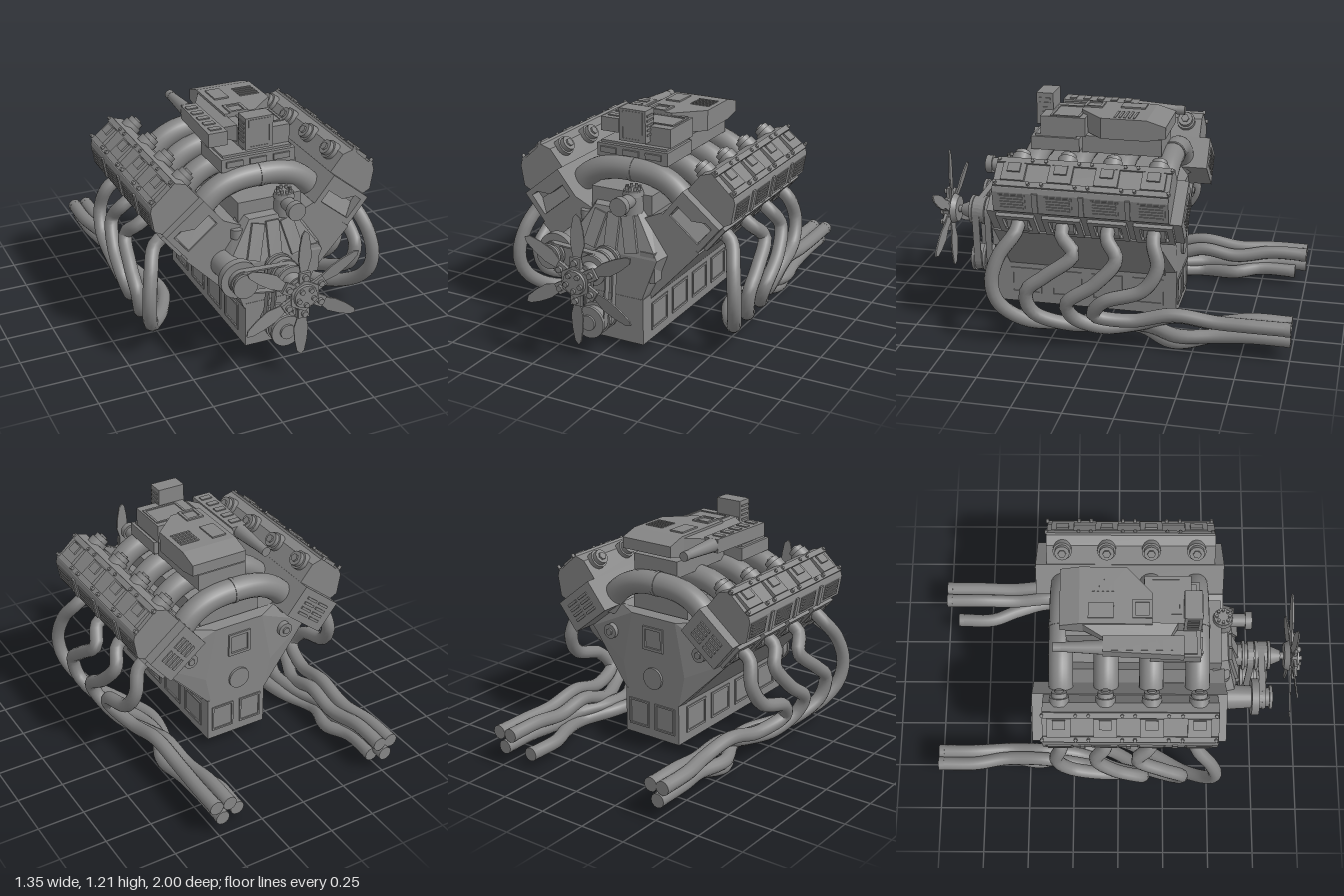
import * as THREE from 'three';
import { ConvexGeometry } from 'three/addons/geometries/ConvexGeometry.js';

const metal = new THREE.MeshStandardMaterial({ color: 0x858585, side: THREE.DoubleSide });
metal.name = 'grey metal';
const CYL_Z = [0.41, 0.17, -0.065, -0.3];
const TILT = 0.68;

function add(parent, name, geo, x = 0, y = 0, z = 0) {
  const m = new THREE.Mesh(geo, metal);
  m.name = name;
  m.position.set(x, y, z);
  parent.add(m);
  return m;
}
const box = (p, name, w, h, d, x, y, z) => add(p, name, new THREE.BoxGeometry(w, h, d), x, y, z);
// Cylinder along an axis, r1 at the positive end
function cyl(p, name, axis, r1, r2, len, x, y, z, sides = 24) {
  const g = new THREE.CylinderGeometry(r1, r2, len, sides);
  if (axis === 'z') g.rotateX(Math.PI / 2);
  if (axis === 'x') g.rotateZ(-Math.PI / 2);
  return add(p, name, g, x, y, z);
}
const poly = pts => new THREE.Shape(pts.map(([x, y]) => new THREE.Vector2(x, y)));
// Outline in x,y extruded from z0 to z1
function prism(p, name, shape, z0, z1) {
  return add(p, name, new THREE.ExtrudeGeometry(shape, { depth: z1 - z0, bevelEnabled: false }), 0, 0, z0);
}
const hull = (p, name, pts) => add(p, name, new ConvexGeometry(pts.map(a => new THREE.Vector3(...a))));
function tube(p, name, pts, r, seg = 48, sides = 14) {
  const c = new THREE.CatmullRomCurve3(pts.map(a => new THREE.Vector3(...a)), false, 'centripetal');
  return add(p, name, new THREE.TubeGeometry(c, seg, r, sides));
}
// Raised rectangular frame in the x,y plane
function frameGeo(w, h, t, depth) {
  const s = poly([[-w / 2, -h / 2], [w / 2, -h / 2], [w / 2, h / 2], [-w / 2, h / 2]]);
  const a = w / 2 - t, b = h / 2 - t;
  s.holes.push(poly([[-a, -b], [-a, b], [a, b], [a, -b]]));
  return new THREE.ExtrudeGeometry(s, { depth, bevelEnabled: false });
}

function buildBlock(g) {
  box(g, 'oilPan', 0.35, 0.25, 1.0, 0.012, 0.18, 0.14);
  prism(g, 'engineBlock', poly([[-0.165, 0.28], [0.185, 0.28], [0.46, 0.58], [0.25, 0.76], [0.12, 0.7],
    [-0.12, 0.7], [-0.25, 0.76], [-0.455, 0.58]]), -0.3, 0.56);
  box(g, 'valleyCover', 0.35, 0.13, 0.82, 0.012, 0.765, 0.13);
  // Faceted rear cover and sloped timing cover
  const rear = [], front = [];
  for (const s of [-1, 1]) {
    rear.push([s * 0.17, 0.28, -0.3], [s * 0.455, 0.58, -0.3], [s * 0.26, 0.75, -0.3],
      [s * 0.165, 0.28, -0.36], [s * 0.2, 0.45, -0.36], [s * 0.14, 0.74, -0.36]);
    front.push([s * 0.3, 0.54, 0.5], [s * 0.14, 0.77, 0.5], [s * 0.17, 0.28, 0.5],
      [s * 0.265, 0.53, 0.638], [s * 0.17, 0.28, 0.638], [s * 0.12, 0.75, 0.58]);
  }
  hull(g, 'rearCover', rear);
  hull(g, 'timingCover', front);
  for (const i of [-1, 0, 1]) {
    const r = box(g, 'timingCoverRib', 0.07, 0.19, 0.03, i * 0.1, 0.635, 0.612);
    r.rotation.set(-0.26, 0, i * 0.25);
  }
  // Panels along the pan and at the back
  for (const s of [-1, 1]) {
    for (let i = 0; i < 4; i++) {
      const f = add(g, 'panPanel', frameGeo(0.17, 0.15, 0.012, 0.008), 0.012 + s * 0.173, 0.18, 0.47 - i * 0.225);
      f.rotation.y = s * Math.PI / 2;
    }
    add(g, 'rearPanPanel', frameGeo(0.13, 0.15, 0.01, 0.008), 0.012 + s * 0.085, 0.18, -0.367);
    cyl(g, 'rearBoss', 'z', 0.04, 0.04, 0.06, s * 0.29, 0.6, -0.335);
    cyl(g, 'rearBossBolt', 'z', 0.02, 0.02, 0.03, s * 0.29, 0.6, -0.36, 6);
  }
  add(g, 'rearUpperPanel', frameGeo(0.13, 0.13, 0.015, 0.012), 0, 0.62, -0.37);
  cyl(g, 'rearPlug', 'z', 0.06, 0.06, 0.03, 0, 0.4, -0.358);
}

// One cylinder bank; s is the side
function buildBank(root, s) {
  const g = new THREE.Group();
  g.name = s > 0 ? 'leftBank' : 'rightBank';
  g.position.set(s * 0.405 + 0.005, 0.738, 0);
  g.rotation.z = -s * TILT;
  root.add(g);
  const flip = a => a.map(([x, y]) => [s * x, y]);
  box(g, 'cylinderHead', 0.26, 0.18, 0.945, 0, 0, 0.0275);
  // Notched front frame with a sloped flap, slotted rear
  const f = poly(flip([[-0.13, -0.09], [0.13, -0.09], [0.13, 0.09], [-0.13, 0.09]]));
  f.holes.push(poly(flip([[-0.1, -0.06], [0.1, -0.06], [0.1, 0.06], [0.06, 0.06], [0.0, 0.01], [-0.1, 0.01]])));
  prism(g, 'headFrontFrame', f, 0.5, 0.56);
  const flap = box(g, 'headFlap', 0.19, 0.09, 0.012, 0, -0.022, 0.525);
  flap.rotation.x = -0.5;
  for (let i = 0; i < 4; i++) for (const x of [-0.045, 0.045])
    box(g, 'rearSlot', 0.07, 0.014, 0.012, x, -0.045 + i * 0.03, -0.446);
  prism(g, 'valveCover', poly(flip([[-0.125, 0.09], [0.13, 0.09], [0.148, 0.13], [0.095, 0.225], [0.075, 0.24],
    [-0.09, 0.25], [-0.125, 0.2]])), -0.385, 0.51);
  for (const [x, y] of [[-0.078, 0.252], [0.055, 0.245]]) box(g, 'coverRail', 0.03, 0.014, 0.89, s * x, y, 0.062);
  for (const z of CYL_Z) {
    // Exhaust flange
    const e = add(g, 'exhaustFlange', frameGeo(0.2, 0.16, 0.03, 0.025), s * 0.125, 0, z);
    e.rotation.y = s * Math.PI / 2;
    hull(g, 'exhaustRamp', [[0.125, 0.05], [0.155, -0.01], [0.155, -0.05], [0.125, -0.06]]
      .flatMap(([x, y]) => [[s * x, y, z - 0.055], [s * x, y, z + 0.055]]));
    // Outer grille
    const v = new THREE.Group();
    v.name = 'coverGrille';
    v.position.set(s * 0.116, 0.178, z);
    v.rotation.z = s * 0.508;
    g.add(v);
    box(v, 'grillePlate', 0.016, 0.085, 0.14, 0, 0, 0);
    for (let i = -2; i <= 2; i++) box(v, 'grilleSlat', 0.024, 0.008, 0.12, 0, i * 0.016, 0);
    box(v, 'coverStrap', 0.024, 0.11, 0.025, 0, 0, z > 0.4 ? -0.118 : 0.118);
    // Coil bracket and bolts on top
    box(g, 'coilBracket', 0.1, 0.025, 0.12, -s * 0.01, 0.25, z);
    box(g, 'coilBlock', 0.05, 0.035, 0.065, -s * 0.03, 0.255, z);
    for (const dz of [-0.085, 0.085]) for (const x of [-0.078, 0.055])
      cyl(g, 'coverBolt', 'y', 0.009, 0.009, 0.02, s * x, 0.258, z + dz, 8);
    // Filler cap facing inward
    cyl(g, 'capNeck', 'x', 0.05, 0.05, 0.04, -s * 0.13, 0.178, z);
    cyl(g, 'cap', 'x', 0.04, 0.04, 0.04, -s * 0.155, 0.178, z, 12);
    cyl(g, 'capNut', 'x', 0.022, 0.022, 0.02, -s * 0.175, 0.178, z, 6);
  }
}

// Four header pipes per side: x, y, z
function buildHeaders(g, s) {
  const paths = [
    [[0.615, 0.5, 0.49], [0.638, 0.36, 0.525], [0.625, 0.24, 0.49], [0.56, 0.13, 0.36], [0.44, 0.08, 0.17], [0.36, 0.07, -0.03],
      [0.385, 0.065, -0.22], [0.48, 0.043, -0.4], [0.42, 0.07, -0.6]],
    [[0.605, 0.54, 0.1], [0.632, 0.42, 0.24], [0.636, 0.33, 0.34], [0.615, 0.21, 0.32], [0.54, 0.12, 0.14], [0.43, 0.09, -0.06],
      [0.43, 0.1, -0.25], [0.5, 0.09, -0.42], [0.48, 0.1, -0.62]],
    [[0.6, 0.53, -0.12], [0.63, 0.4, -0.02], [0.63, 0.28, 0.13], [0.595, 0.19, 0.11], [0.54, 0.12, -0.03], [0.47, 0.12, -0.2],
      [0.46, 0.18, -0.4], [0.45, 0.16, -0.6]],
    [[0.595, 0.5, -0.33], [0.615, 0.38, -0.26], [0.62, 0.3, -0.06], [0.59, 0.21, 0.0], [0.54, 0.17, -0.18],
      [0.52, 0.215, -0.4], [0.51, 0.19, -0.62]],
  ];
  const ends = s > 0
    ? [[0.36, 0.083, -0.94], [0.48, 0.115, -1], [0.44, 0.19, -1], [0.515, 0.19, -1]]
    : [[0.47, 0.085, -0.94], [0.51, 0.115, -1], [0.47, 0.19, -1], [0.54, 0.19, -1]];
  paths.forEach((p, i) => {
    const z = CYL_Z[i], [ex, ey, ez] = ends[i];
    const pts = [[0.48, 0.675, z], [0.56, 0.62, z], ...p, [ex, ey, ez + 0.2], [ex, ey, ez + 0.005]];
    tube(g, 'headerPipe', pts.map(([a, b, c]) => [s * a, b, c]), 0.037, 64, 12);
    cyl(g, 'pipeTip', 'z', 0.038, 0.038, 0.03, s * ex, ey, ez + 0.015, 12);
  });
}

function buildIntake(g) {
  const half = [[0.34, 0.72], [0.3, 0.79], [0.245, 0.845], [0.17, 0.885], [0.09, 0.903]];
  for (const z of CYL_Z) {
    tube(g, 'intakeRunner', [...half.map(([x, y]) => [-x, y, z]), [0, 0.907, z],
      ...half.slice().reverse().map(([x, y]) => [x, y, z])], 0.064, 40, 18);
    cyl(g, 'runnerBand', 'x', 0.067, 0.067, 0.02, 0.01, 0.907, z);
  }
  // Plenum under the blower
  box(g, 'plenumFront', 0.41, 0.07, 0.26, 0.005, 0.985, 0.29);
  box(g, 'plenumLid', 0.38, 0.02, 0.22, 0.005, 1.022, 0.29);
  for (const x of [-0.13, 0, 0.13]) box(g, 'plenumVent', 0.09, 0.03, 0.02, x, 0.99, 0.421);
  box(g, 'plenumRear', 0.28, 0.09, 0.42, 0.05, 0.99, -0.06);
  // Tall scoop
  box(g, 'scoop', 0.152, 0.17, 0.09, 0.007, 1.135, 0.375);
  add(g, 'scoopFrame', frameGeo(0.12, 0.15, 0.006, 0.005), 0.007, 1.135, 0.418);
  for (const s of [-1, 1]) for (let i = 0; i < 5; i++)
    box(g, 'scoopSlat', 0.008, 0.01, 0.06, 0.007 + s * 0.077, 1.09 + i * 0.025, 0.375);
  box(g, 'scoopBase', 0.26, 0.1, 0.24, 0.07, 1.08, 0.25);
  add(g, 'baseLidFrame', frameGeo(0.2, 0.16, 0.012, 0.008), 0.09, 1.127, 0.24).rotation.x = -Math.PI / 2;
  // Blower body with a slanted front corner
  const body = [];
  for (const y of [1.04, 1.15]) body.push([-0.07, y, 0.17], [0.1, y, 0.17], [0.24, y, 0.04], [0.24, y, -0.2], [-0.07, y, -0.2]);
  for (const y of [1.06, 1.12]) body.push([-0.07, y, -0.3], [0.24, y, -0.3]);
  hull(g, 'blowerBody', body);
  add(g, 'blowerHatch', frameGeo(0.1, 0.1, 0.015, 0.01), 0.01, 1.148, 0.12).rotation.x = -Math.PI / 2;
  box(g, 'blowerLatch', 0.08, 0.014, 0.13, 0.0, 1.151, -0.09);
  for (let i = 0; i < 5; i++) box(g, 'blowerSlot', 0.11, 0.008, 0.012, 0.16, 1.15, -0.13 + i * 0.025);
  // Side strip with barrel tail
  const strip = [];
  for (const y of [1.055, 1.13]) strip.push([-0.23, y, 0.33], [-0.125, y, 0.33], [-0.125, y, -0.08], [-0.21, y, -0.08]);
  hull(g, 'sideStrip', strip);
  hull(g, 'stripBridge', [1.05, 1.14].flatMap(y => [[-0.06, y, 0.3], [-0.06, y, -0.2]])
    .concat([1.065, 1.12].flatMap(y => [[-0.13, y, 0.26], [-0.13, y, -0.08]])));
  cyl(g, 'stripBarrel', 'z', 0.038, 0.024, 0.22, -0.175, 1.095, -0.19, 16);
  cyl(g, 'barrelTip', 'z', 0.026, 0.026, 0.04, -0.175, 1.095, -0.31, 12);
  for (let i = 0; i < 5; i++) box(g, 'stripButton', 0.06, 0.01, 0.035, -0.175, 1.131, 0.28 - i * 0.075);
}

// Belt loop around two pulleys
function belt(g, x0, y0, r0, x1, y1, r1, z, w) {
  const a = Math.atan2(y1 - y0, x1 - x0);
  const arc = (x, y, r, start) => Array.from({ length: 13 }, (_, i) => {
    const t = a + start + i * Math.PI / 12;
    return [x + r * Math.cos(t), y + r * Math.sin(t)];
  });
  const ring = k => poly([...arc(x0, y0, r0 + k, Math.PI / 2), ...arc(x1, y1, r1 + k, -Math.PI / 2)]);
  const s = ring(0.008);
  s.holes.push(ring(0));
  prism(g, 'belt', s, z - w / 2, z + w / 2);
}

function buildFrontDrive(g) {
  const pulley = (name, x, y, r, z0, z1) => {
    cyl(g, name, 'z', r * 0.8, r * 0.8, z1 - z0, x, y, (z0 + z1) / 2, 32);
    for (const z of [z0, (z0 + z1) / 2, z1]) cyl(g, name + 'Rim', 'z', r, r, 0.016, x, y, z, 32);
  };
  pulley('waterPumpPulley', 0, 0.5, 0.08, 0.68, 0.82);
  pulley('crankPulley', -0.02, 0.215, 0.085, 0.69, 0.82);
  pulley('alternatorPulley', -0.25, 0.525, 0.065, 0.74, 0.82);
  cyl(g, 'crankNose', 'z', 0.04, 0.04, 0.24, -0.02, 0.215, 0.72);
  cyl(g, 'pumpNose', 'z', 0.06, 0.06, 0.1, 0, 0.5, 0.65);
  cyl(g, 'alternator', 'z', 0.1, 0.1, 0.04, -0.25, 0.525, 0.735, 32);
  cyl(g, 'alternatorBody', 'z', 0.06, 0.075, 0.22, -0.25, 0.525, 0.61);
  box(g, 'accessoryBracket', 0.08, 0.16, 0.13, 0.21, 0.485, 0.57);
  belt(g, -0.02, 0.215, 0.07, 0, 0.5, 0.068, 0.79, 0.04);
  belt(g, -0.02, 0.215, 0.07, 0, 0.5, 0.068, 0.72, 0.035);
  belt(g, -0.25, 0.525, 0.055, 0, 0.5, 0.068, 0.775, 0.035);
  // Fan
  const fan = new THREE.Group();
  fan.name = 'fan';
  fan.position.set(-0.002, 0.495, 0);
  g.add(fan);
  cyl(fan, 'fanCone', 'z', 0.03, 0.055, 0.06, 0, 0, 0.855);
  cyl(fan, 'fanShaft', 'z', 0.02, 0.02, 0.1, 0, 0, 0.9);
  cyl(fan, 'fanHubRear', 'z', 0.085, 0.07, 0.03, 0, 0, 0.92);
  cyl(fan, 'fanHub', 'z', 0.085, 0.085, 0.03, 0, 0, 0.96, 6);
  cyl(fan, 'fanHubCap', 'z', 0.06, 0.065, 0.018, 0, 0, 0.978);
  const blade = poly([[0.05, -0.03], [0.13, -0.024], [0.19, -0.042], [0.26, -0.036], [0.325, -0.022], [0.345, 0],
    [0.325, 0.016], [0.26, 0.028], [0.19, 0.032], [0.13, 0.022], [0.05, 0.03]]);
  for (let i = 0; i < 6; i++) {
    const arm = new THREE.Group();
    arm.name = 'fanArm';
    arm.rotation.z = Math.PI / 6 + i * Math.PI / 3;
    fan.add(arm);
    const b = prism(arm, 'fanBlade', blade, -0.004, 0.004);
    b.position.z = 0.944;
    b.rotation.x = 0.14;
    box(arm, 'bladeMount', 0.07, 0.06, 0.016, 0.09, 0, 0.96);
    cyl(arm, 'bladeBolt', 'z', 0.016, 0.016, 0.025, 0.1, 0, 0.972, 10);
  }
  for (let i = 0; i < 5; i++) {
    const a = Math.PI / 2 + 0.63 + i * Math.PI * 0.4;
    cyl(fan, 'hubBolt', 'z', 0.013, 0.013, 0.02, 0.042 * Math.cos(a), 0.042 * Math.sin(a), 0.99, 10);
  }
  // Distributor
  cyl(g, 'distributorBody', 'y', 0.05, 0.055, 0.12, 0.085, 0.79, 0.55);
  cyl(g, 'distributorCap', 'y', 0.048, 0.055, 0.03, 0.085, 0.84, 0.55);
  for (let i = 0; i < 8; i++)
    cyl(g, 'distributorPost', 'y', 0.008, 0.008, 0.025, 0.085 + 0.034 * Math.cos(i * Math.PI / 4), 0.86, 0.55 + 0.034 * Math.sin(i * Math.PI / 4), 8);
  cyl(g, 'distributorDrive', 'z', 0.036, 0.036, 0.1, 0.085, 0.805, 0.63);
  cyl(g, 'distributorNose', 'z', 0.048, 0.048, 0.035, 0.085, 0.805, 0.685);
  cyl(g, 'coolantCap', 'y', 0.032, 0.032, 0.05, -0.18, 0.68, 0.56);
}

export function createModel() {
  const root = new THREE.Group();
  root.name = 'engine';
  buildBlock(root);
  for (const s of [-1, 1]) {
    buildBank(root, s);
    buildHeaders(root, s);
  }
  buildIntake(root);
  buildFrontDrive(root);
  return root;
}
